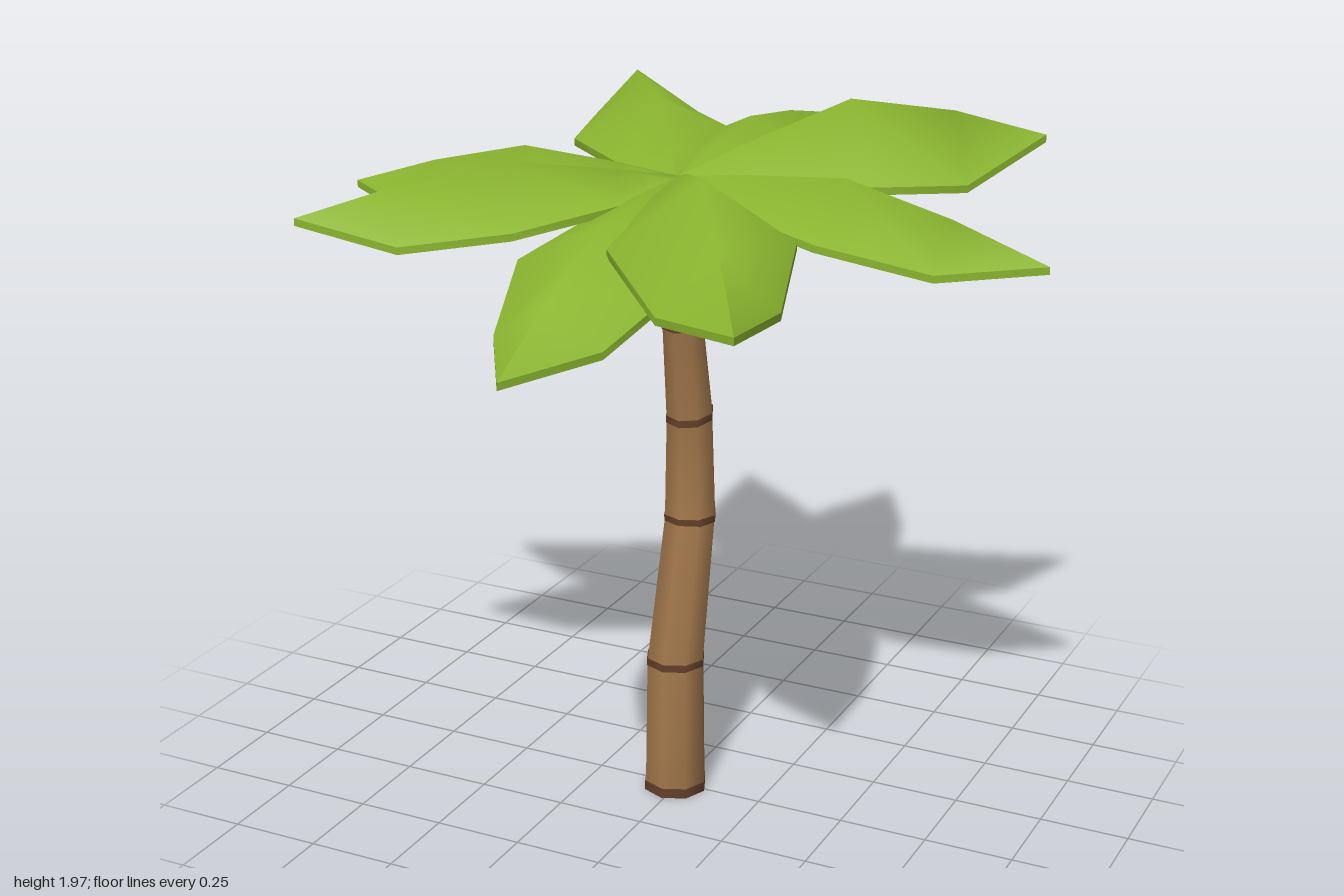
import * as THREE from 'three';
import { mergeGeometries } from 'three/addons/utils/BufferGeometryUtils.js';

const mat = (color) => new THREE.MeshStandardMaterial({ color });
const bark = mat(0xa0764a), darkBark = mat(0x64402a), nutBrown = mat(0x5e3c27), green = mat(0x8ab42f);

// Smooth skin through rows of points; closed rows wrap around
function skin(rows, closed) {
  const n = rows[0].length, index = [];
  for (let i = 0; i < rows.length - 1; i++) {
    for (let j = 0; j < (closed ? n : n - 1); j++) {
      const k = (j + 1) % n;
      const a = i * n + j, b = i * n + k, c = b + n, d = a + n;
      index.push(a, b, c, a, c, d);
    }
  }
  const g = new THREE.BufferGeometry();
  g.setAttribute('position', new THREE.Float32BufferAttribute(rows.flat(2), 3));
  g.setIndex(index);
  g.computeVertexNormals();
  return g;
}

// Eight-sided ring; tilt lifts the back edge
function ring({ y, z, r, tilt = 0 }) {
  return Array.from({ length: 8 }, (_, i) => {
    const t = (i / 8) * Math.PI * 2, dz = Math.cos(t) * r;
    return [-0.007 + Math.sin(t) * r, y - dz * tilt, z + dz];
  });
}

// Stack of rings with flat ends
function stack(stations) {
  const rings = stations.map(ring);
  const cap = (s, pts, flip) => {
    const centre = pts.map(() => [-0.007, s.y, s.z]);
    return skin(flip ? [centre, pts] : [pts, centre], true);
  };
  const last = rings.length - 1;
  return mergeGeometries([
    skin(rings, true), cap(stations[0], rings[0], true), cap(stations[last], rings[last], false),
  ]);
}

// Leaf blade along +z: ridged top, matching underside and thin rims
function leafGeometry(length, rise, arch, drop) {
  const thick = 0.02;
  // fraction of length, half width, arch factor, edge drop factor
  const stations = [
    [0, 0.02, 0, 0.1], [0.17, 0.13, 0.42, 0.5], [0.46, 0.235, 1, 1], [0.745, 0.15, 0.6, 0.92], [1, 0, 0, 0],
  ];
  const top = stations.map(([t, w, a, d]) => {
    const y = t * rise + a * arch, z = t * length;
    return [[w, y - d * drop, z], [0, y, z], [-w, y - d * drop, z]];
  });
  const lower = ([x, y, z]) => [x, y - thick, z];
  const bottom = top.map((row) => row.map(lower).reverse());
  return mergeGeometries([
    skin(top, false),
    skin(bottom, false),
    skin(top.map((r) => [r[2], lower(r[2])]), false),
    skin(top.map((r) => [lower(r[0]), r[0]]), false),
  ]);
}

export function createModel() {
  const group = new THREE.Group();
  const add = (name, geometry, material) => {
    const mesh = new THREE.Mesh(geometry, material);
    mesh.name = name;
    group.add(mesh);
    return mesh;
  };

  // Bent trunk
  const joints = [
    { y: 0, z: 0.01, r: 0.089, tilt: 0 },
    { y: 0.4, z: 0.008, r: 0.083, tilt: 0 },
    { y: 0.8, z: -0.085, r: 0.074, tilt: 0 },
    { y: 1.1, z: -0.08, r: 0.066, tilt: 0.17 },
    { y: 1.38, z: -0.036, r: 0.057, tilt: 0.2 },
    { y: 1.52, z: -0.012, r: 0.052, tilt: 0.2 },
  ];
  add('trunk', stack(joints), bark);

  // Dark bands around the joints
  joints.slice(0, 5).forEach((j, i) => {
    const low = i ? -0.01 : 0, high = i ? 0.01 : 0.028;
    const r = j.r + 0.002;
    add('trunkBand', stack([{ ...j, r, y: j.y + low }, { ...j, r, y: j.y + high }]), darkBark);
  });

  // Round crown core under the leaves
  add('crownCore', stack([
    { y: 1.445, z: -0.03, r: 0.095, tilt: 0.12 },
    { y: 1.51, z: -0.018, r: 0.127, tilt: 0.12 },
    { y: 1.62, z: -0.003, r: 0.152, tilt: 0.08 },
    { y: 1.69, z: 0, r: 0.13, tilt: 0.05 },
    { y: 1.75, z: 0, r: 0.05 },
  ]), nutBrown);

  // Leaves: tip x, tip z, tip height, arch, edge drop
  const baseY = 1.785;
  const leaves = [
    [0, 0.97, 1.51, 0.1, 0.115],
    [1, -0.05, 1.65, 0.1, 0.115],
    [-1, 0, 1.665, 0.09, 0.115],
    [0, -0.98, 1.76, 0.08, 0.11],
    [-0.53, -0.81, 1.87, 0.075, 0.11],
    [0.815, -0.56, 1.86, 0.155, 0.18],
    [-0.825, 0.565, 1.71, 0.09, 0.13],
    [0.54, 0.83, 1.655, 0.165, 0.17],
  ];
  for (const [x, z, y, arch, drop] of leaves) {
    const leaf = add('leaf', leafGeometry(Math.hypot(x, z), y - baseY, arch, drop), green);
    leaf.position.y = baseY;
    leaf.rotation.y = Math.atan2(x, z);
  }
  return group;
}
